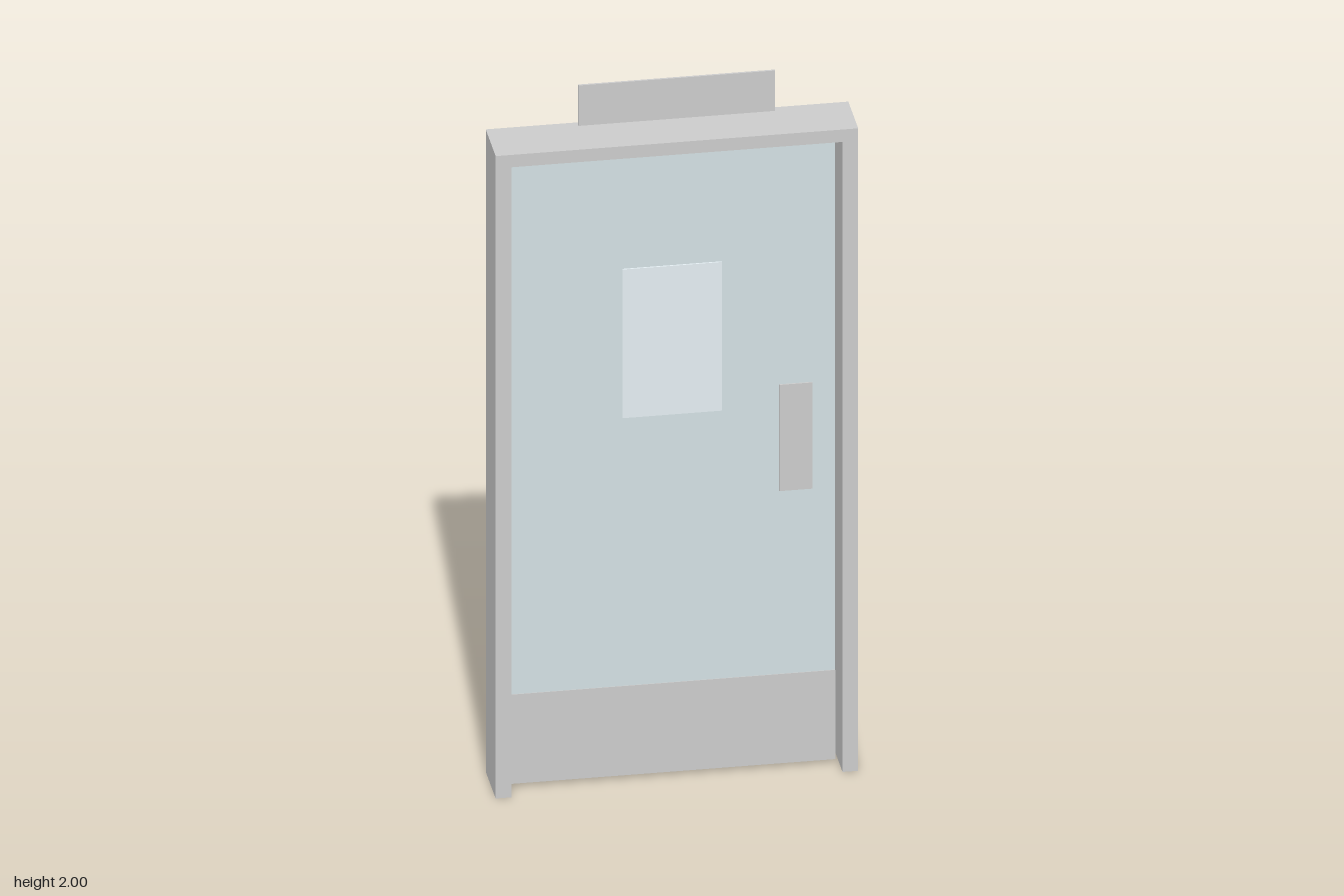
import * as THREE from 'three';

const steel = new THREE.MeshStandardMaterial({ color: 0xcccccc });
const paint = new THREE.MeshStandardMaterial({ color: 0xd2e0e3 });
const glass = new THREE.MeshStandardMaterial({ color: 0xe4eef2 });

// Box given by its limits on each axis
function box(name, [x0, x1], [y0, y1], [z0, z1], material) {
  const mesh = new THREE.Mesh(new THREE.BoxGeometry(x1 - x0, y1 - y0, z1 - z0), material);
  mesh.position.set((x0 + x1) / 2, (y0 + y1) / 2, (z0 + z1) / 2);
  mesh.name = name;
  return mesh;
}

export function createModel() {
  const group = new THREE.Group();
  group.name = 'door';

  // Door frame: two jambs and a head in one extruded outline
  const outline = new THREE.Shape();
  [[-0.4625, 0], [-0.4225, 0], [-0.4225, 1.78], [0.4225, 1.78], [0.4225, 0],
    [0.4625, 0], [0.4625, 1.815], [-0.4625, 1.815]]
    .forEach(([x, y], i) => (i ? outline.lineTo(x, y) : outline.moveTo(x, y)));
  const frame = new THREE.Mesh(
    new THREE.ExtrudeGeometry(outline, { depth: 0.15, bevelEnabled: false }), steel);
  frame.position.z = -0.08;
  frame.name = 'doorFrame';
  group.add(frame);

  // Door leaf, set back in the middle of the frame
  const back = -0.024, front = 0.014;
  group.add(box('doorLeaf', [-0.418, 0.413], [0.01, 1.77], [back, front], paint));

  // Fittings on both faces: kick plate, push plate and vision panel
  for (const side of [1, -1]) {
    const label = side > 0 ? 'front' : 'back';
    const face = side > 0 ? front : back;
    const depth = (t) => (side > 0 ? [face, face + t] : [face - t, face]);
    group.add(
      box(label + 'KickPlate', [-0.418, 0.413], [0.01, 0.262], depth(0.002), steel),
      box(label + 'PushPlate', [0.27, 0.355], [0.78, 1.08], depth(0.004), steel),
      box(label + 'VisionPanel', [-0.13, 0.124], [1.02, 1.44], depth(0.004), glass),
    );
  }

  // Blank sign plate above the door
  group.add(box('signPlate', [-0.2525, 0.2495], [1.886, 2], [0.071, 0.077], steel));

  return group;
}
